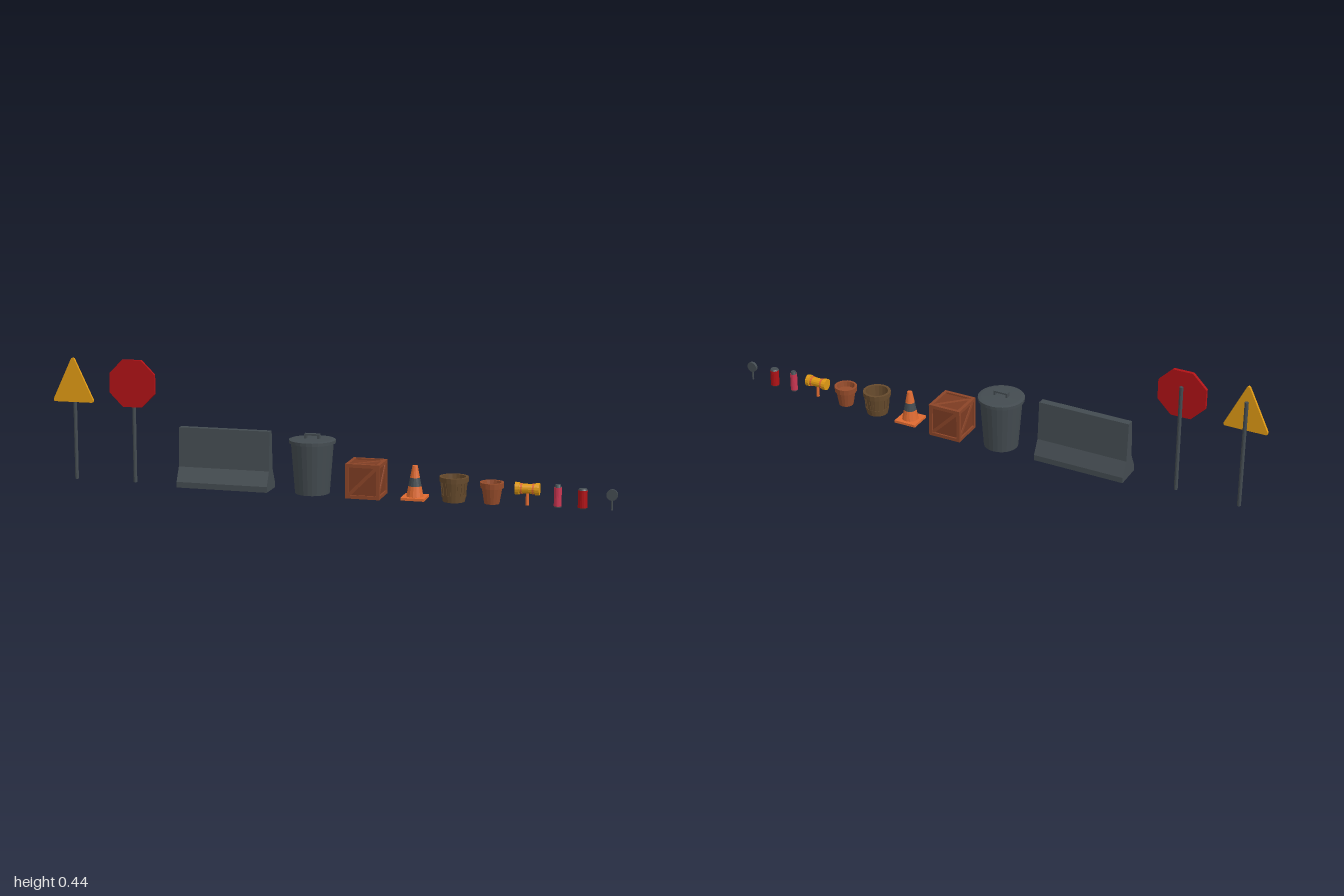
import * as THREE from 'three';

const material = (name, color, extra = {}) =>
  Object.assign(new THREE.MeshStandardMaterial({ color, flatShading: true, ...extra }), { name });

export function createModel() {
  const yellow = material('yellow', 0xe09a14);
  const red = material('red', 0xb01216);
  const slate = material('slate', 0x434b50);
  const wood = material('crate wood', 0x8c4528);
  const panelWood = material('crate panel', 0x7c3b22);
  const orange = material('orange', 0xdf6a30);
  const brown = material('basket brown', 0x664a2c);
  const clay = material('terracotta', 0x964c2b);
  const pink = material('pink', 0xcc3652);

  const model = new THREE.Group();
  model.name = 'streetProps';

  // Helpers: a named prop standing at x, and meshes placed within it
  const prop = (name, x) => {
    const g = new THREE.Group();
    g.name = name;
    g.position.x = x;
    model.add(g);
    return g;
  };
  const add = (parent, name, geometry, mat, x = 0, y = 0, z = 0) => {
    const mesh = new THREE.Mesh(geometry, mat);
    mesh.name = name;
    mesh.position.set(x, y, z);
    parent.add(mesh);
    return mesh;
  };
  const box = (g, name, w, h, d, mat, x, y, z) => add(g, name, new THREE.BoxGeometry(w, h, d), mat, x, y, z);
  // Tapered cylinder between two heights
  const drum = (g, name, r0, r1, y0, y1, mat, sides = 16) =>
    add(g, name, new THREE.CylinderGeometry(r1, r0, y1 - y0, sides), mat, 0, (y0 + y1) / 2);
  const lathe = (g, name, points, mat, sides) =>
    add(g, name, new THREE.LatheGeometry(points.map(p => new THREE.Vector2(...p)), sides), mat);
  const plate = (points, depth) => new THREE.ExtrudeGeometry(
    new THREE.Shape(points.map(p => new THREE.Vector2(...p))), { depth, bevelEnabled: false });

  // Triangular warning sign, corners clipped
  const warning = prop('warningSign', -0.925);
  drum(warning, 'post', 0.0065, 0.0065, 0, 0.385, slate, 10);
  add(warning, 'triangle', plate([
    [-0.071, 0.28], [0.071, 0.28], [0.075, 0.284], [0.074, 0.291],
    [0.005, 0.436], [0, 0.438], [-0.005, 0.436], [-0.074, 0.291], [-0.075, 0.284],
  ], 0.01), yellow, 0, 0, 0.006);

  // Octagonal sign
  const stop = prop('octagonSign', -0.702);
  drum(stop, 'post', 0.0065, 0.0065, 0, 0.385, slate, 10);
  const corners = Array.from({ length: 8 }, (_, i) => {
    const a = (i + 0.5) * Math.PI / 4, r = 0.0835 / Math.cos(Math.PI / 8);
    return [Math.cos(a) * r, Math.sin(a) * r];
  });
  add(stop, 'octagon', plate(corners, 0.012), red, 0, 0.355, 0.006);

  // Road barrier: one profile swept along x
  const barrier = prop('roadBarrier', -0.365);
  const half = [[0.048, 0], [0.048, 0.02], [0.022, 0.07], [0.013, 0.208]];
  const profile = [...half, ...half.map(([z, y]) => [-z, y]).reverse()];
  const wall = add(barrier, 'barrierWall', plate(profile, 0.33), slate, -0.165);
  wall.rotation.y = Math.PI / 2;

  // Dustbin with lid and handle
  const bin = prop('dustbin', -0.05);
  drum(bin, 'body', 0.06, 0.074, 0, 0.178, slate, 24);
  lathe(bin, 'lid', [[0, 0.176], [0.081, 0.176], [0.081, 0.187], [0.07, 0.189], [0, 0.192]], slate, 24);
  for (const s of [-1, 1]) box(bin, 'handlePost', 0.007, 0.022, 0.018, slate, s * 0.023, 0.196, 0);
  box(bin, 'handleBar', 0.053, 0.006, 0.018, slate, 0, 0.204, 0);

  // Crate: inset core, a frame and one diagonal on every face
  const crate = prop('crate', 0.142);
  box(crate, 'panels', 0.108, 0.108, 0.108, panelWood, 0, 0.06, 0);
  const b = 0.012, e = 0.054;
  for (const s of [-1, 1]) for (const t of [-1, 1]) {
    box(crate, 'frameX', 0.12, b, b, wood, 0, 0.06 + s * e, t * e);
    box(crate, 'frameY', b, 0.12, b, wood, s * e, 0.06, t * e);
    box(crate, 'frameZ', b, b, 0.12, wood, s * e, 0.06 + t * e, 0);
  }
  for (let i = 0; i < 6; i++) {
    const face = new THREE.Group();
    face.name = 'braceFace';
    face.position.y = 0.06;
    if (i < 4) face.rotation.y = i * Math.PI / 2;
    else face.rotation.x = (i === 4 ? 1 : -1) * Math.PI / 2;
    box(face, 'brace', 0.137, 0.012, 0.004, wood, 0, 0, 0.055).rotation.z = Math.PI / 4;
    crate.add(face);
  }

  // Traffic cone: stacked sections of one taper
  const cone = prop('trafficCone', 0.312);
  box(cone, 'base', 0.082, 0.009, 0.082, orange, 0, 0.0045, 0);
  const radius = y => 0.031 - 0.022 * y / 0.115;
  [[0.009, 0.045, orange], [0.045, 0.074, slate], [0.074, 0.115, orange]].forEach(([y0, y1, mat]) =>
    drum(cone, 'coneSection', radius(y0), radius(y1), y0, y1, mat, 14));

  // Open basket with hoops
  const basket = prop('basket', 0.447);
  lathe(basket, 'basketBody', [[0, 0], [0.038, 0], [0.045, 0.068], [0.0495, 0.068], [0.05, 0.085],
    [0.04, 0.085], [0.036, 0.03], [0, 0.03]], brown, 18);
  lathe(basket, 'lowerHoop', [[0.037, 0.014], [0.0415, 0.014], [0.0425, 0.024], [0.038, 0.024]], brown, 18);
  for (let i = 0; i < 18; i++) {
    const a = (i + 0.5) * Math.PI / 9;
    const peg = box(basket, 'stave', 0.006, 0.045, 0.003, brown,
      Math.sin(a) * 0.0425, 0.046, Math.cos(a) * 0.0425);
    peg.rotation.set(0.1, a, 0, 'YXZ');
  }

  // Flowerpot
  const pot = prop('flowerpot', 0.577);
  lathe(pot, 'potBody', [[0, 0], [0.026, 0], [0.035, 0.054], [0.04, 0.054], [0.041, 0.073],
    [0.032, 0.073], [0.029, 0.05]], clay, 16);
  drum(pot, 'soil', 0.029, 0.031, 0.046, 0.054, clay, 16);

  // Mallet: head along x, handle pointing down
  const mallet = prop('mallet', 0.697);
  drum(mallet, 'handle', 0.006, 0.005, 0, 0.05, orange, 8);
  const head = new THREE.Group();
  head.name = 'head';
  head.position.y = 0.057;
  head.rotation.z = Math.PI / 2;
  mallet.add(head);
  drum(head, 'headCore', 0.0165, 0.0165, -0.04, 0.04, yellow, 14);
  for (const s of [-1, 1]) {
    drum(head, 'headEnd', 0.021, 0.021, s * 0.034 - 0.007, s * 0.034 + 0.007, yellow, 14);
    drum(head, 'headBand', 0.0185, 0.0185, s * 0.02 - 0.003, s * 0.02 + 0.003, orange, 14);
  }

  // Spray can and drink can
  const spray = prop('sprayCan', 0.799);
  drum(spray, 'rim', 0.0125, 0.013, 0, 0.004, slate);
  drum(spray, 'body', 0.013, 0.013, 0.004, 0.068, pink);
  drum(spray, 'cap', 0.012, 0.009, 0.068, 0.077, slate);
  const can = prop('drinkCan', 0.882);
  drum(can, 'bottomRim', 0.013, 0.016, 0, 0.004, slate);
  drum(can, 'body', 0.016, 0.016, 0.004, 0.063, red);
  drum(can, 'topRim', 0.016, 0.013, 0.063, 0.068, slate);

  // Paddle: flat round blade on a short handle
  const paddle = prop('paddle', 0.979);
  drum(paddle, 'handle', 0.0035, 0.0035, 0, 0.036, slate, 8);
  const blade = drum(paddle, 'blade', 0.019, 0.019, -0.005, 0.005, slate, 16);
  blade.position.y = 0.052;
  blade.rotation.x = Math.PI / 2;

  return model;
}
